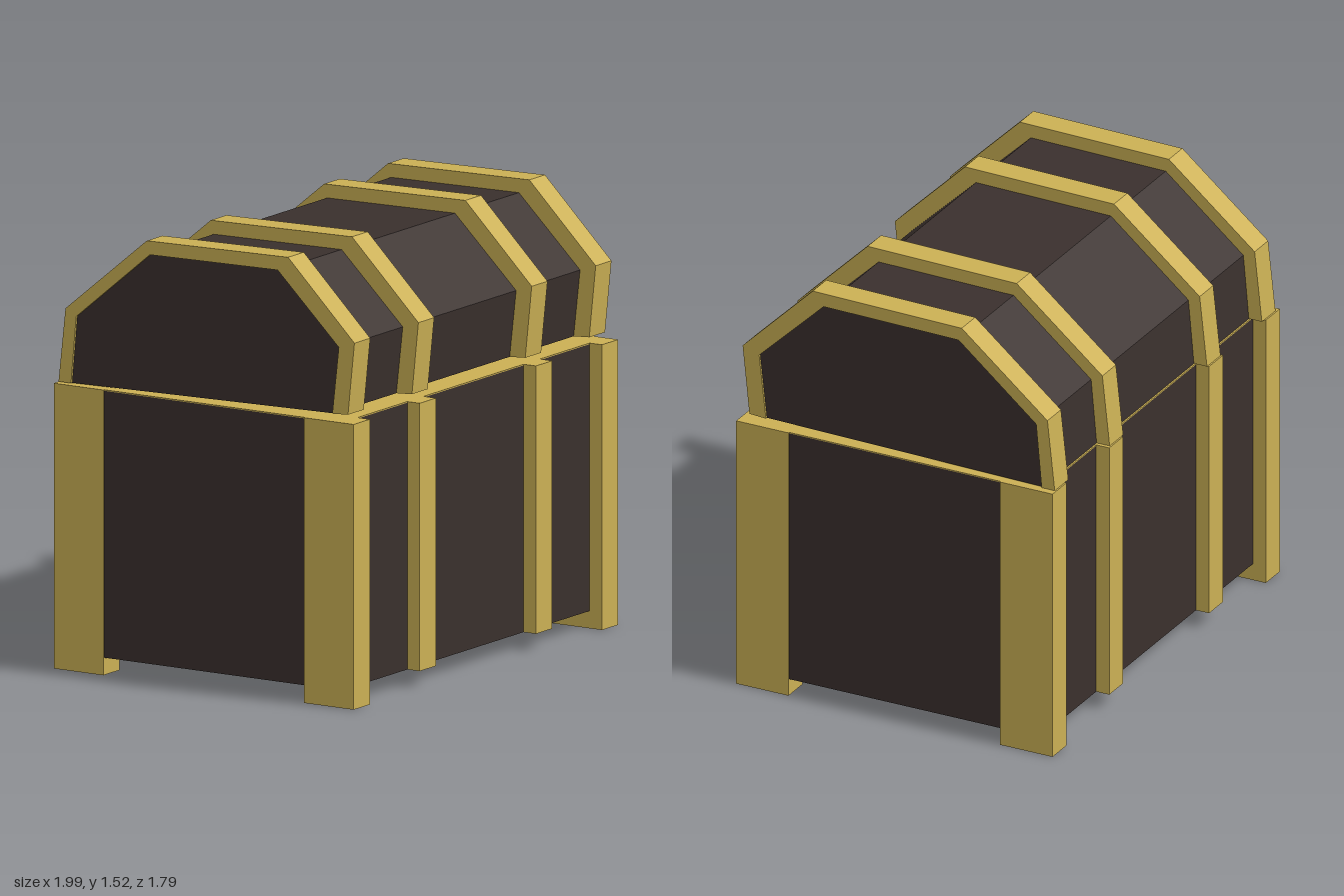
import * as THREE from 'three';

const gold = new THREE.MeshStandardMaterial({ color: 0xcbb054, flatShading: true });
const wood = new THREE.MeshStandardMaterial({ color: 0x3a302d, flatShading: true });

// Lid cross-sections as [depth, height], from the front lower edge over to the back
const OUTER = [[0.567, 1.01], [0.593, 1.26], [0.325, 1.525], [-0.245, 1.515], [-0.573, 1.243], [-0.601, 0.987]];
const INNER = [[0.504, 1.006], [0.53, 1.238], [0.283, 1.476], [-0.233, 1.468], [-0.53, 1.22], [-0.551, 0.987]];

export function createModel() {
  const chest = new THREE.Group();
  chest.name = 'chest';

  const add = (name, geometry, material, x = 0, y = 0, z = 0) => {
    const mesh = new THREE.Mesh(geometry, material);
    mesh.name = name;
    mesh.position.set(x, y, z);
    chest.add(mesh);
  };

  // Box given by its centre in plan, its size and its bottom and top heights
  const box = (name, material, x, z, w, d, bottom, top) =>
    add(name, new THREE.BoxGeometry(w, top - bottom, d), material, x, (bottom + top) / 2, z);

  // Cross-section swept along the length of the chest
  const sweep = (name, points, material, x, width) => {
    const shape = new THREE.Shape(points.map(([z, y]) => new THREE.Vector2(z, y)));
    const geometry = new THREE.ExtrudeGeometry(shape, { depth: width, bevelEnabled: false });
    geometry.translate(0, 0, -width / 2);
    geometry.rotateY(-Math.PI / 2);
    add(name, geometry, material, x);
  };

  // Lower box with its metal rim
  box('body', wood, 0, 0, 1.62, 1.11, 0.06, 0.981);
  box('rim', gold, 0, 0, 1.62, 1.11, 0.981, 0.985);

  for (const sx of [-1, 1]) {
    for (const sz of [-1, 1]) {
      // Corner posts run down to form the feet
      box('cornerPost', gold, sx * 0.765, sz * 0.505, 0.1, 0.2, 0, 0.985);
      // Straps on the front and back walls
      box('bodyStrap', gold, sx * 0.358, sz * 0.575, 0.1, 0.06, 0.06, 0.985);
    }
  }

  // Faceted lid with four arched straps
  sweep('lid', INNER, wood, 0, 1.568);
  const arch = [...OUTER, ...[...INNER].reverse()];
  for (const x of [-0.743, -0.349, 0.349, 0.743]) sweep('lidStrap', arch, gold, x, 0.097);

  // The chest stands turned to one side
  chest.rotation.y = THREE.MathUtils.degToRad(25.2);
  const model = new THREE.Group();
  model.name = 'treasureChest';
  model.add(chest);
  return model;
}
